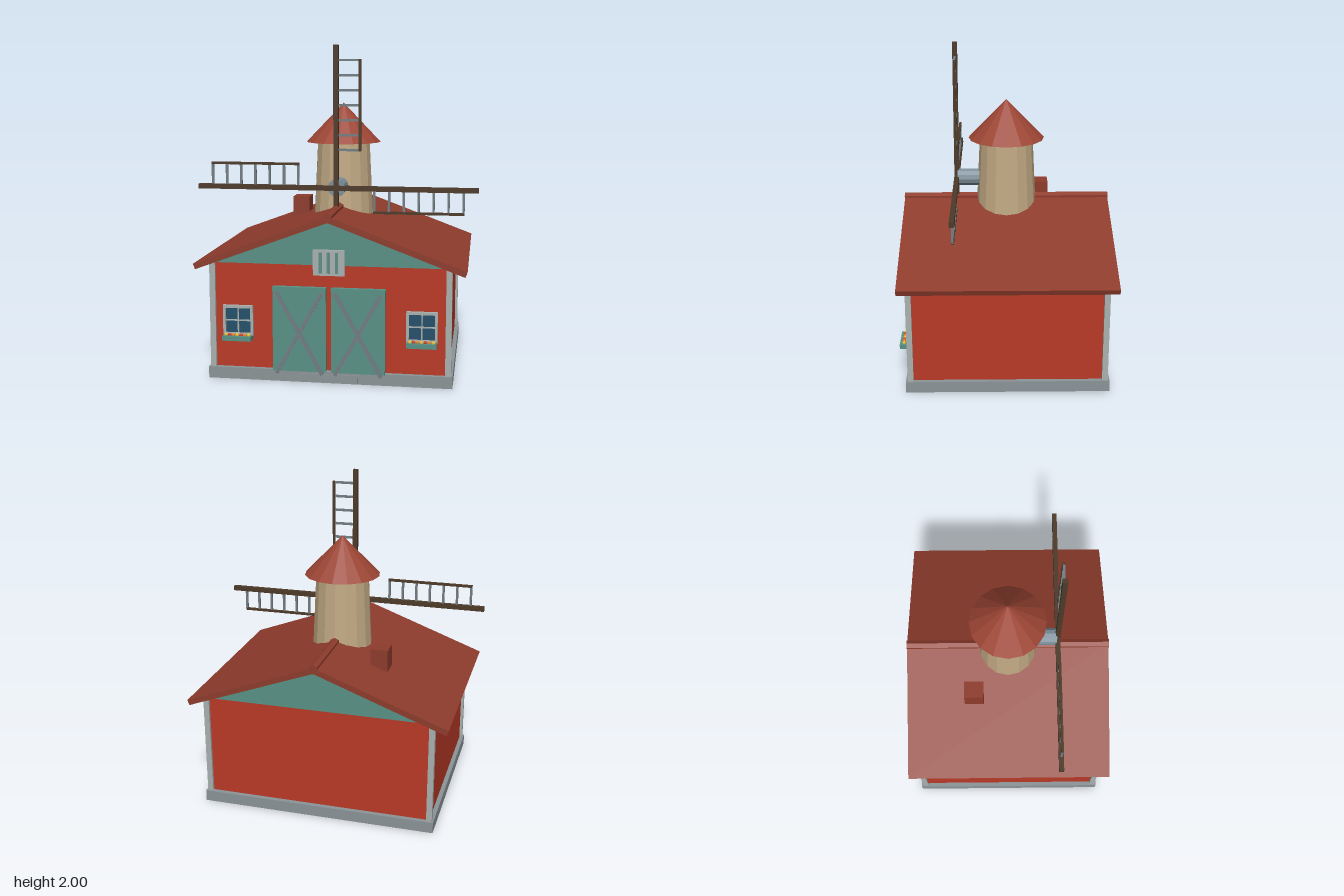
import * as THREE from 'three';

const mat = (color, side = THREE.FrontSide) =>
  new THREE.MeshStandardMaterial({ color, flatShading: true, side });
const RED = mat(0xba3a27), TEAL = mat(0x599185), ROOF = mat(0x8e3c2c), CAP = mat(0x9c4534),
  TAN = mat(0xc2aa84), TRIM = mat(0xa9b1af), STONE = mat(0x8b9497), STEEL = mat(0x737d82),
  WOOD = mat(0x4d3a29), GLASS = mat(0x25506b), HUB = mat(0x7d8f9a);

function add(parent, name, geometry, material, x = 0, y = 0, z = 0) {
  const mesh = new THREE.Mesh(geometry, material);
  mesh.name = name;
  mesh.position.set(x, y, z);
  parent.add(mesh);
  return mesh;
}

// Box given by its extents on each axis
function box(parent, name, material, [x0, x1], [y0, y1], [z0, z1]) {
  return add(parent, name, new THREE.BoxGeometry(x1 - x0, y1 - y0, z1 - z0), material,
    (x0 + x1) / 2, (y0 + y1) / 2, (z0 + z1) / 2);
}

// Front outline extruded along z, centred on z = 0
function prism(parent, name, material, points, depth) {
  const shape = new THREE.Shape(points.map(([x, y]) => new THREE.Vector2(x, y)));
  const geometry = new THREE.ExtrudeGeometry(shape, { depth, bevelEnabled: false });
  return add(parent, name, geometry, material, 0, 0, -depth / 2);
}

function group(parent, name, x = 0, y = 0, z = 0) {
  const g = new THREE.Group();
  g.name = name;
  g.position.set(x, y, z);
  parent.add(g);
  return g;
}

function buildBarn(model) {
  const barn = group(model, 'barn');
  box(barn, 'foundation', STONE, [-0.735, 0.735], [0, 0.07], [-0.617, 0.617]);
  box(barn, 'doorStep', STONE, [-0.177, 0.177], [0.003, 0.055], [0.5, 0.624]);
  box(barn, 'walls', RED, [-0.708, 0.708], [0.02, 0.71], [-0.588, 0.588]);
  for (const sx of [-1, 1]) for (const sz of [-1, 1]) {
    add(barn, 'cornerPost', new THREE.BoxGeometry(0.035, 0.65, 0.035), TRIM, sx * 0.708, 0.385, sz * 0.588);
  }
  prism(barn, 'gable', TEAL, [[-0.712, 0.71], [0.712, 0.71], [0, 0.978]], 1.182);
  // Folded roof slab and its ridge cap
  prism(barn, 'roof', ROOF,
    [[-0.812, 0.708], [-0.8, 0.675], [0, 0.973], [0.8, 0.675], [0.812, 0.708], [0, 1.01]], 1.3);
  const ridge = add(barn, 'ridgeCap', new THREE.CylinderGeometry(0.03, 0.03, 1.304, 6), ROOF, 0, 1.0, 0);
  ridge.rotation.x = Math.PI / 2;
  box(barn, 'chimney', ROOF, [-0.363, -0.255], [0.78, 1.015], [-0.28, -0.158]);
}

function buildDoor(model, side) {
  const door = group(model, side > 0 ? 'leftDoor' : 'rightDoor', side * 0.176, 0.322, 0);
  box(door, 'doorPanel', TEAL, [-0.161, 0.161], [-0.257, 0.257], [0.58, 0.619]);
  // Crossed braces
  for (const s of [-1, 1]) {
    const brace = add(door, 'doorBrace', new THREE.BoxGeometry(0.022, 0.57, 0.016), STEEL, 0, -0.022, 0.62);
    brace.rotation.z = s * 0.507;
  }
}

function buildWindow(model, side) {
  const win = group(model, side > 0 ? 'leftWindow' : 'rightWindow', side * 0.552, 0.36, 0.588);
  box(win, 'windowPane', GLASS, [-0.08, 0.08], [-0.09, 0.08], [0, 0.008]);
  for (const s of [-1, 1]) {
    add(win, 'windowJamb', new THREE.BoxGeometry(0.016, 0.18, 0.024), TRIM, s * 0.084, 0, 0.01);
    add(win, 'windowRail', new THREE.BoxGeometry(0.184, 0.016, 0.024), TRIM, 0, s * 0.084, 0.01);
  }
  box(win, 'mullion', TRIM, [-0.004, 0.004], [-0.08, 0.08], [0, 0.015]);
  box(win, 'muntin', TRIM, [-0.08, 0.08], [-0.004, 0.004], [0, 0.015]);
  // Flower box with a row of blossoms
  box(win, 'flowerBox', TEAL, [-0.088, 0.088], [-0.115, -0.087], [0, 0.067]);
  const colors = [0xe8c23a, 0xd8452f, 0xe88a2c].map((c) => mat(c));
  for (let i = 0; i < 7; i++) {
    add(win, 'flower', new THREE.IcosahedronGeometry(0.012, 0), colors[i % 3], (i - 3) * 0.023, -0.083, 0.042);
  }
}

function buildLoftShutter(model) {
  const loft = group(model, 'loftShutter', 0, 0.728, 0);
  box(loft, 'shutterBoard', TRIM, [-0.094, 0.094], [-0.077, 0.077], [0.58, 0.608]);
  for (const x of [-0.048, 0, 0.048]) {
    add(loft, 'shutterSlot', new THREE.BoxGeometry(0.02, 0.125, 0.008), TEAL, x, 0, 0.607);
  }
  box(loft, 'shutterGap', STEEL, [-0.003, 0.003], [-0.065, 0.065], [0.6, 0.613]);
}

function buildMill(model) {
  const mill = group(model, 'windmill');
  add(mill, 'tower', new THREE.CylinderGeometry(0.167, 0.234, 1.38, 16), TAN, 0, 0.71, 0);
  add(mill, 'towerCap', new THREE.ConeGeometry(0.238, 0.247, 16), CAP, 0, 1.521, 0);
  const hub = add(mill, 'hub', new THREE.CylinderGeometry(0.054, 0.054, 0.2, 12), HUB, 0, 1.135, 0.21);
  hub.rotation.x = Math.PI / 2;

  // Four sails, each a spar with a ladder frame on one edge
  const sails = group(mill, 'sails', 0, 1.135, 0.316);
  for (let k = 0; k < 4; k++) {
    const sail = group(sails, 'sail');
    sail.rotation.z = -k * Math.PI / 2;
    box(sail, 'spar', WOOD, [-0.015, 0.015], [0, 0.865], [-0.015, 0.015]);
    box(sail, 'sailRail', WOOD, [0.138, 0.153], [0.228, 0.782], [-0.008, 0.008]);
    for (let i = 0; i < 7; i++) {
      add(sail, 'rung', new THREE.BoxGeometry(0.14, 0.014, 0.014), STEEL, 0.075, 0.235 + i * 0.09, 0);
    }
  }
}

export function createModel() {
  const model = new THREE.Group();
  model.name = 'barnWithWindmill';
  buildBarn(model);
  for (const side of [-1, 1]) {
    buildDoor(model, side);
    buildWindow(model, side);
  }
  buildLoftShutter(model);
  buildMill(model);
  return model;
}
